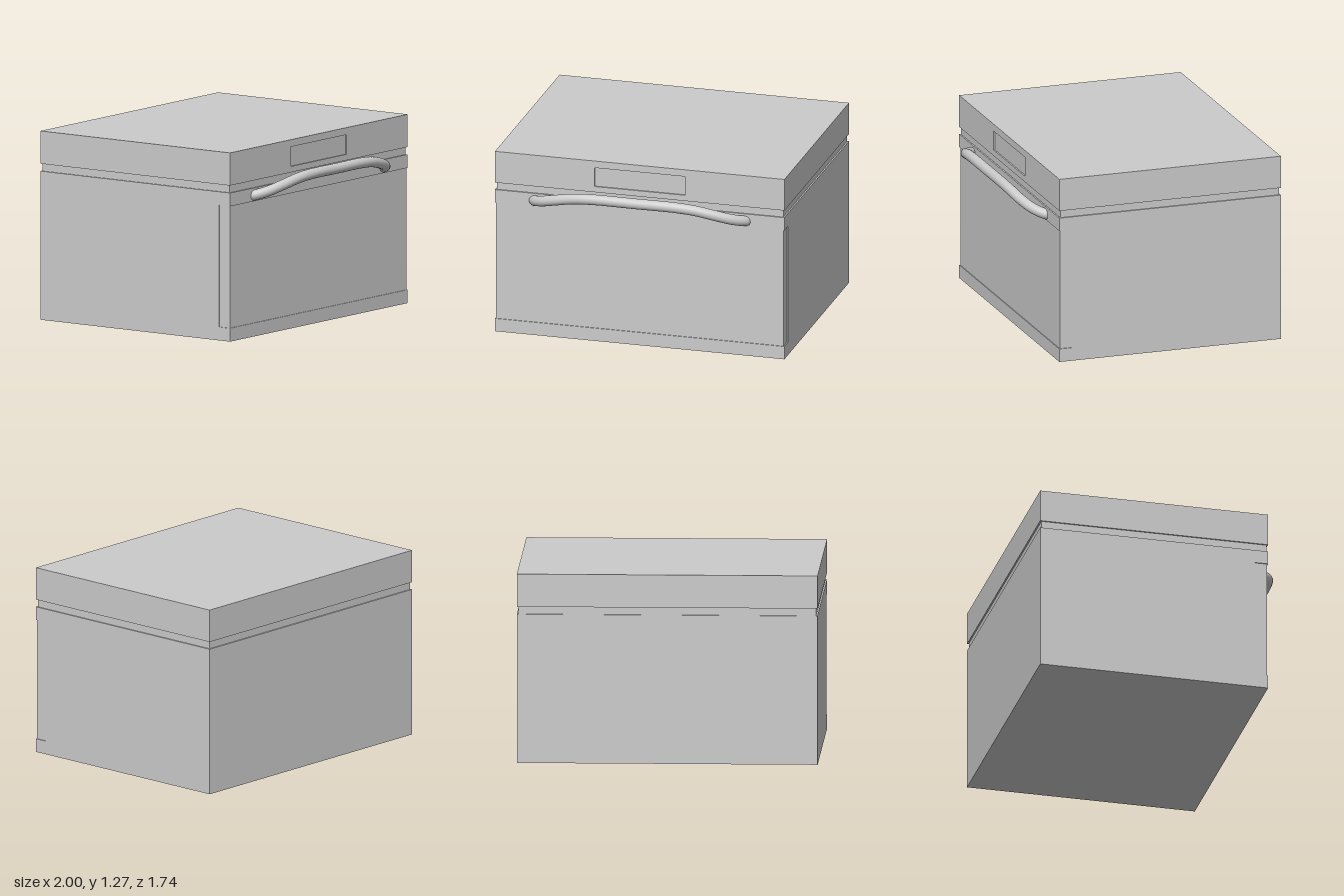
import * as THREE from 'three';

const BACK = -0.87, FRONT = 0.69;

export function createModel() {
  const group = new THREE.Group();
  const material = new THREE.MeshStandardMaterial({ color: 0xcccccc });

  const add = (name, geometry) => {
    const mesh = new THREE.Mesh(geometry, material);
    mesh.name = name;
    group.add(mesh);
    return mesh;
  };
  // Box given by its lower and upper corners
  const box = (name, [x0, y0, z0], [x1, y1, z1]) =>
    add(name, new THREE.BoxGeometry(x1 - x0, y1 - y0, z1 - z0)
      .translate((x0 + x1) / 2, (y0 + y1) / 2, (z0 + z1) / 2));
  const points = (list) => list.map(([x, y]) => new THREE.Vector2(x, y));

  // Body: side profile with a front opening, extruded across the width
  const profile = new THREE.Shape(points([
    [-FRONT, 0], [-BACK, 0], [-BACK, 1], [-FRONT, 1],
    [-FRONT, 0.91], [-0.6, 0.91], [-0.6, 0.09], [-FRONT, 0.09],
  ]));
  add('body', new THREE.ExtrudeGeometry(profile, { depth: 2, bevelEnabled: false })
    .rotateY(Math.PI / 2).translate(-1, 0, 0));

  // Door, set slightly back inside the opening
  box('door', [-0.993, 0.09, 0.6], [0.993, 0.91, 0.684]);

  // Narrow neck between body and lid
  box('neck', [-0.99, 1, BACK + 0.01], [0.99, 1.05, FRONT - 0.01]);

  // Lid with a recessed display window
  const lid = new THREE.Shape(points([[-1, 1.05], [1, 1.05], [1, 1.27], [-1, 1.27]]));
  const w = 0.313;
  lid.holes.push(new THREE.Path(points([[-w, 1.09], [-w, 1.222], [w, 1.222], [w, 1.09]])));
  add('lid', new THREE.ExtrudeGeometry(lid, { depth: FRONT - BACK, bevelEnabled: false })
    .translate(0, 0, BACK));
  box('displayPanel', [-w, 1.09, BACK], [w, 1.222, FRONT - 0.01]);

  // Bowed handle, mirrored about the middle
  const half = [
    [0.74, 0.942, 0.65], [0.728, 0.95, 0.69], [0.66, 0.974, 0.753],
    [0.55, 1.008, 0.8], [0.42, 1.038, 0.826], [0.28, 1.05, 0.836],
  ];
  const path = [
    ...half.map(([x, y, z]) => new THREE.Vector3(-x, y, z)),
    new THREE.Vector3(0, 1.05, 0.836),
    ...half.slice().reverse().map((p) => new THREE.Vector3(...p)),
  ];
  add('handle', new THREE.TubeGeometry(new THREE.CatmullRomCurve3(path), 64, 0.035, 20));

  return group;
}
